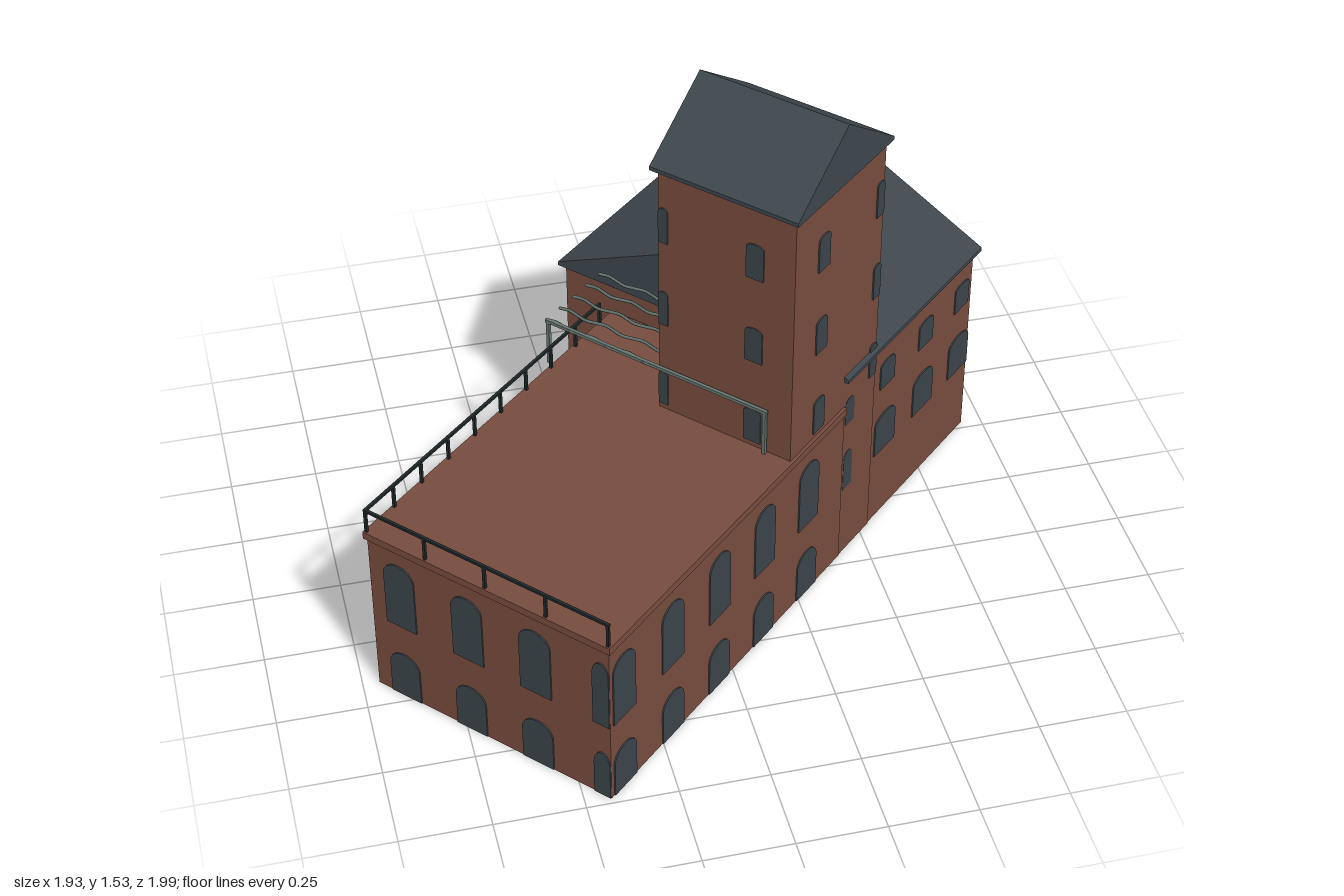
import * as THREE from 'three';

const mat = (name, color, side = THREE.FrontSide) => {
  const m = new THREE.MeshStandardMaterial({ color, side });
  m.name = name;
  return m;
};

export function createModel() {
  const brick = mat('brick', 0x774b3e, THREE.DoubleSide);
  const slate = mat('slate', 0x3e474d);
  const glass = mat('window glass', 0x3b444a);
  const iron = mat('dark iron', 0x20282a);
  const trellis = mat('weathered trellis', 0x66756f);

  const root = new THREE.Group();
  root.name = 'building';
  const site = new THREE.Group();
  site.name = 'rotatedSite';
  site.rotation.y = THREE.MathUtils.degToRad(42.5);
  root.add(site);

  const add = (name, geo, material, x = 0, y = 0, z = 0, ry = 0) => {
    const m = new THREE.Mesh(geo, material);
    m.name = name;
    m.position.set(x, y, z);
    m.rotation.y = ry;
    site.add(m);
    return m;
  };
  // Box given by its minimum and maximum corners
  const box = (name, material, x0, x1, y0, y1, z0, z1) =>
    add(name, new THREE.BoxGeometry(x1 - x0, y1 - y0, z1 - z0), material,
      (x0 + x1) / 2, (y0 + y1) / 2, (z0 + z1) / 2);
  // Four walls without floor or ceiling
  const walls = (name, x0, x1, y1, z0, z1) => {
    const m = box(name, brick, x0, x1, 0, y1, z0, z1);
    const idx = Array.from(m.geometry.index.array);
    m.geometry.setIndex([...idx.slice(0, 12), ...idx.slice(24)]);
    m.geometry.clearGroups();
  };
  // Gabled roof with its ridge along z, or along x when turned
  const roof = (name, x0, x1, z0, z1, y, h, alongX) => {
    const span = (alongX ? z1 - z0 : x1 - x0) / 2;
    const len = alongX ? x1 - x0 : z1 - z0;
    const s = new THREE.Shape();
    s.moveTo(-span, 0);
    s.lineTo(span, 0);
    s.lineTo(span, 0.012);
    s.lineTo(0, h);
    s.lineTo(-span, 0.012);
    const g = new THREE.ExtrudeGeometry(s, { depth: len, bevelEnabled: false });
    g.translate(0, 0, -len / 2);
    add(name, g, slate, (x0 + x1) / 2, y, (z0 + z1) / 2, alongX ? Math.PI / 2 : 0);
  };
  // Arched pane set through a wall; axis tells which way the wall faces
  const pane = (name, axis, at, along, y, w, h, rise) => {
    const s = new THREE.Shape();
    s.moveTo(-w / 2, 0);
    s.lineTo(w / 2, 0);
    s.lineTo(w / 2, h - rise);
    s.absellipse(0, h - rise, w / 2, rise, 0, Math.PI, false);
    s.lineTo(-w / 2, 0);
    const g = new THREE.ExtrudeGeometry(s, { depth: 0.008, bevelEnabled: false, curveSegments: 8 });
    g.translate(0, 0, -0.004);
    if (axis === 'x') add(name, g, glass, at, y, along, Math.PI / 2);
    else add(name, g, glass, along, y, at);
  };

  // Low wing with flat deck and cornice
  walls('wingWalls', -0.98, 0.16, 0.535, -0.342, 0.435);
  box('wingDeck', brick, -0.988, 0.16, 0.53, 0.553, -0.35, 0.443);
  const wingWindows = (axis, at, list) => list.forEach(([a, w = 0.1]) => {
    pane('wingUpperWindow', axis, at, a, 0.26, w, 0.22, 0.045);
    pane('wingLowerWindow', axis, at, a, 0.002, w, 0.155, 0.045);
  });
  wingWindows('z', 0.435, [[-0.917], [-0.693], [-0.469], [-0.246], [-0.022]]);
  wingWindows('z', -0.342, [[0.06], [-0.175], [-0.41], [-0.646], [-0.867]]);
  wingWindows('x', -0.98, [[-0.243], [-0.02], [0.2], [0.408, 0.052]]);

  // Rear house
  walls('houseWalls', 0.168, 0.88, 0.65, -0.516, 0.43);
  box('houseFloor', brick, 0.17, 0.878, 0.24, 0.25, -0.514, 0.428);
  roof('houseRoof', 0.155, 0.897, -0.535, 0.447, 0.643, 0.25, true);
  const houseWindows = (axis, at, list) => list.forEach(([a, clip]) => {
    pane('houseUpperWindow', axis, at, a, 0.475, clip || 0.078, 0.092, 0.015);
    pane('houseLowerWindow', axis, at, a, 0.24, clip || 0.112, 0.135, 0.03);
  });
  houseWindows('z', 0.43, [[0.192, 0.046], [0.4], [0.615], [0.822]]);
  houseWindows('x', 0.88, [[0.365], [0.17], [-0.06], [-0.305]]);
  houseWindows('z', -0.516, [[0.78], [0.54], [0.3]]);

  // Chimney and gable disc
  add('chimney', new THREE.BoxGeometry(0.04, 0.2, 0.04), brick, 0.745, 0.84, -0.117, -site.rotation.y);
  add('gableDisc', new THREE.CylinderGeometry(0.03, 0.03, 0.008, 16), iron, 0.89, 0.72, -0.045);

  // Tower
  walls('towerWalls', -0.12, 0.325, 1.36, 0.005, 0.433);
  roof('towerRoof', -0.136, 0.34, -0.012, 0.447, 1.35, 0.183, false);
  for (let level = 0; level < 5; level++) {
    const y = 0.02 + level * 0.275;
    const outer = level > 1;
    const towerWindow = (axis, at, along, w = 0.055) =>
      pane('towerWindow', axis, at, along, y, w, 0.112, 0.014);
    if (outer) {
      towerWindow('z', 0.433, 0.02);
      towerWindow('z', 0.433, 0.305, 0.036);
      towerWindow('z', 0.005, 0.116);
    }
    towerWindow('x', -0.12, 0.31);
    towerWindow('x', -0.12, 0.021, 0.03);
    towerWindow('x', 0.325, 0.11);
    towerWindow('x', 0.325, 0.405, 0.05);
  }

  // Deck railing along the end and the rear edge
  const r = 0.004;
  const post = (x, z) => box('railingPost', iron, x - r, x + r, 0.55, 0.63, z - r, z + r);
  box('railingEndRail', iron, -0.984, -0.976, 0.622, 0.63, -0.346, 0.439);
  box('railingRearRail', iron, -0.984, 0.09, 0.622, 0.63, -0.346, -0.338);
  for (let i = 0; i < 5; i++) post(-0.98, -0.342 + i * 0.194);
  for (let i = 1; i < 10; i++) post(-0.98 + i * 0.1185, -0.342);

  // Pergola: one long beam on two posts, then wavy slats back to the house
  box('pergolaBeam', trellis, -0.135, -0.125, 0.692, 0.702, -0.37, 0.362);
  for (const z of [-0.362, 0.355])
    box('pergolaPost', trellis, -0.135, -0.125, 0.55, 0.7, z - 0.005, z + 0.005);
  for (let i = 0; i < 5; i++) {
    const x = -0.128 + i * 0.064;
    const pts = [];
    for (let k = 0; k <= 12; k++)
      pts.push(new THREE.Vector3(x + 0.006 * Math.sin(k * 1.57), 0.697, -0.372 + k * 0.0312));
    add('pergolaSlat', new THREE.TubeGeometry(new THREE.CatmullRomCurve3(pts), 36, 0.005, 5), trellis);
  }
  return root;
}
